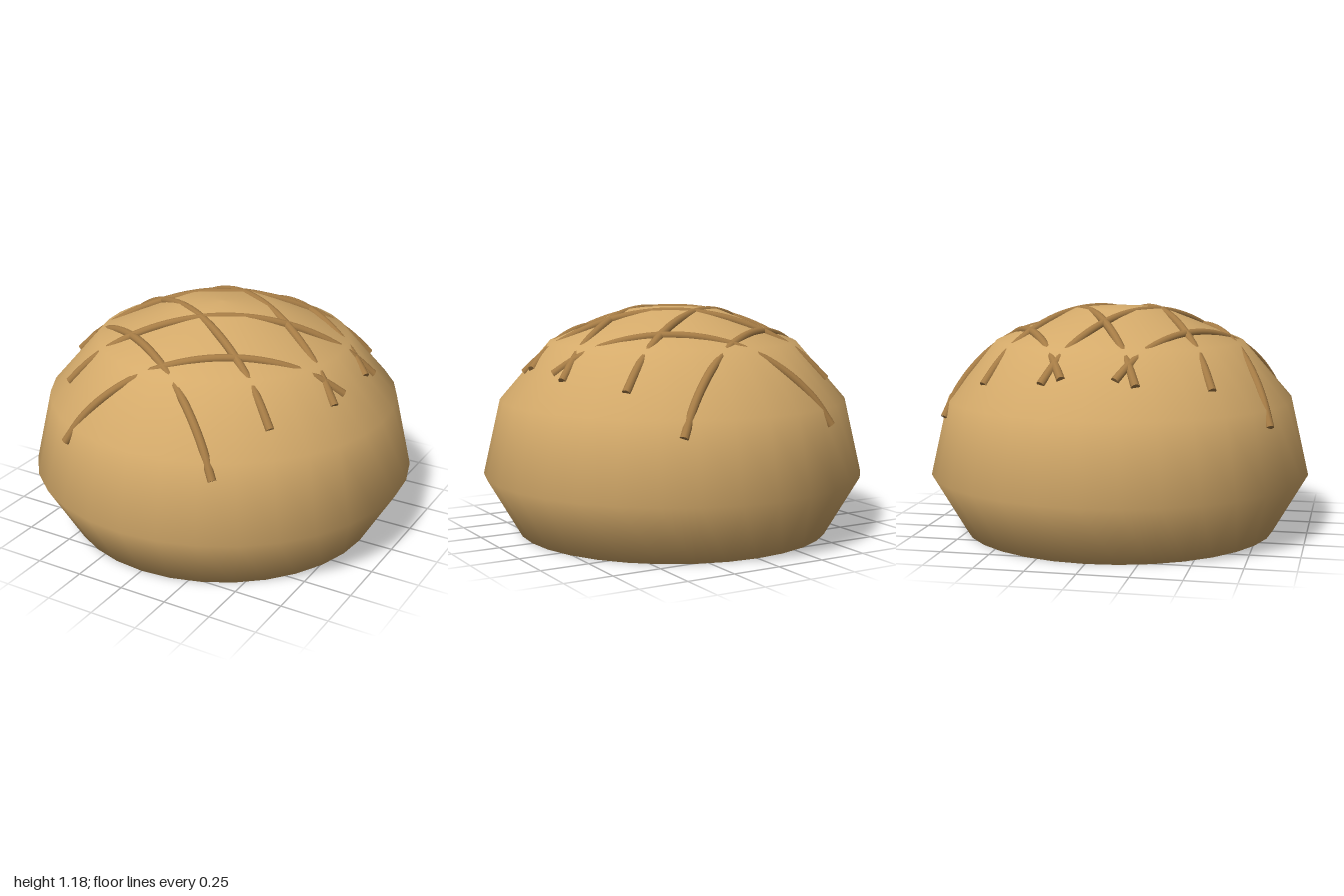
import * as THREE from 'three';

const crustMaterial = new THREE.MeshStandardMaterial({ color: 0xd4aa6a });
const scoreMaterial = new THREE.MeshStandardMaterial({ color: 0xa67c45 });

// Height of the dome the score strips follow, at a plan position.
const domeHeight = (x, z) => 0.305 + 0.87 * Math.sqrt(Math.max(0, 1 - x * x - z * z));

// Rounded strip lying over the dome along a slanted straight line in plan.
function scoreStrip(offset, xStart, xEnd, sx, sz) {
  const points = [];
  const steps = 16;
  for (let i = 0; i <= steps; i++) {
    const x = THREE.MathUtils.lerp(xStart, xEnd, i / steps);
    const z = 0.6 * x + offset;
    points.push(new THREE.Vector3(x * sx, domeHeight(x, z), z * sz));
  }
  const curve = new THREE.CatmullRomCurve3(points);
  const radius = 0.022;
  const strip = new THREE.Group();
  strip.name = 'scoreStrip';
  const tube = new THREE.Mesh(new THREE.TubeGeometry(curve, 40, radius, 10), scoreMaterial);
  tube.name = 'stripBody';
  strip.add(tube);
  // Flat caps at both ends
  for (const t of [0, 1]) {
    const cap = new THREE.Mesh(new THREE.CircleGeometry(radius, 10), scoreMaterial);
    const outward = curve.getTangent(t).multiplyScalar(t ? 1 : -1);
    cap.quaternion.setFromUnitVectors(new THREE.Vector3(0, 0, 1), outward);
    cap.position.copy(points[t * steps]);
    cap.name = 'stripEnd';
    strip.add(cap);
  }
  return strip;
}

export function createModel() {
  const model = new THREE.Group();
  model.name = 'scoredBun';

  // Domed crust with a flat base
  const profile = [[0, 0], [0.82, 0], [1, 0.31], [0.91, 0.7], [0.65, 1], [0.23, 1.167], [0, 1.18]]
    .map(([r, y]) => new THREE.Vector2(r, y));
  const crust = new THREE.Mesh(new THREE.LatheGeometry(profile, 32), crustMaterial);
  crust.name = 'crust';
  model.add(crust);

  // Diamond lattice of strips, mirrored into all four quadrants
  const lattice = new THREE.Group();
  lattice.name = 'scoreLattice';
  for (const sx of [1, -1]) {
    for (const sz of [1, -1]) {
      lattice.add(scoreStrip(-0.58, -0.42, 0.75, sx, sz));
      lattice.add(scoreStrip(-0.22, -0.58, 0.75, sx, sz));
    }
  }
  model.add(lattice);
  return model;
}
